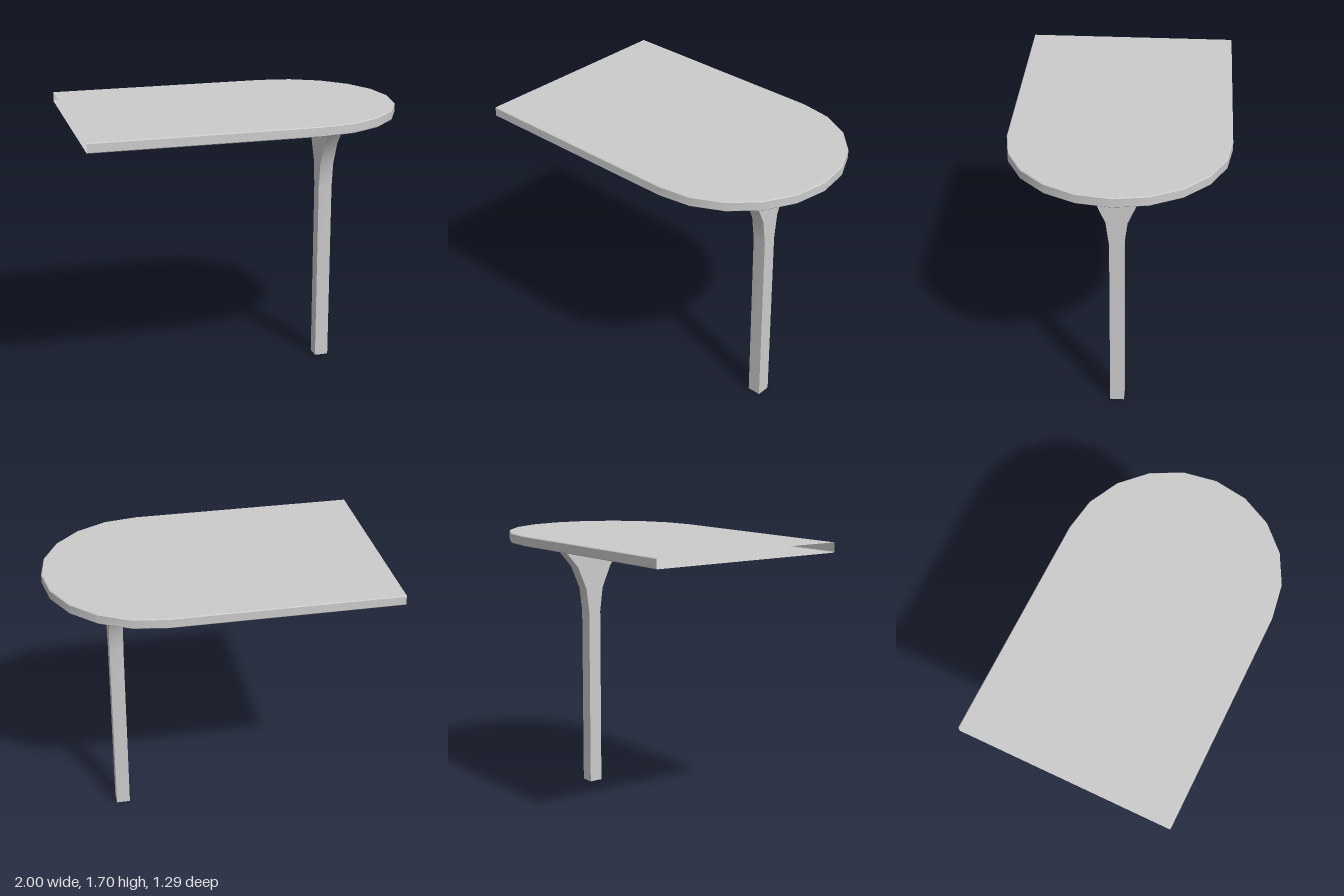
import * as THREE from 'three';
import { toCreasedNormals } from 'three/addons/utils/BufferGeometryUtils.js';

const material = new THREE.MeshStandardMaterial({ color: 0xcccccc, side: THREE.DoubleSide });

// Skin a stack of equally long rows of [x, y, z] points, running from bottom to top.
function loft(rows, crease) {
  const n = rows[0].length;
  const index = [];
  for (let i = 0; i < rows.length - 1; i++) {
    for (let j = 0; j < n - 1; j++) {
      const a = i * n + j, d = a + n;
      index.push(a, a + 1, d + 1, a, d + 1, d);
    }
  }
  const geometry = new THREE.BufferGeometry();
  geometry.setAttribute('position', new THREE.Float32BufferAttribute(rows.flat(2), 3));
  geometry.setIndex(index);
  return toCreasedNormals(geometry, crease);
}

// Table outline: straight sides ending in a half circle; zScale 0 folds it to the centre line.
function outline(radius, y, zScale = 1) {
  const points = [[-1, y, radius * zScale]];
  for (let i = 0; i <= 10; i++) {
    const a = Math.PI / 2 - (i / 10) * Math.PI;
    points.push([0.355 + radius * Math.cos(a), y, radius * Math.sin(a) * zScale]);
  }
  points.push([-1, y, -radius * zScale]);
  return points;
}

export function createModel() {
  const group = new THREE.Group();
  const add = (name, geometry) => {
    const mesh = new THREE.Mesh(geometry, material);
    mesh.name = name;
    group.add(mesh);
  };

  // Hollow slab with a finely bevelled rim, left open at its straight end
  const r = 0.645, bevel = 0.005, bottom = 1.64, top = 1.7;
  add('tableTop', loft([
    outline(r - bevel, bottom, 0),
    outline(r - bevel, bottom),
    outline(r, bottom + bevel),
    outline(r, top - bevel),
    outline(r - bevel, top),
    outline(r - bevel, top, 0),
  ], 0.6));

  // Square post, open at the foot, flaring front and back beneath the slab
  const x0 = 0.545, x1 = 0.63;
  const profile = [[0, 0.043], [1.15, 0.043], [1.305, 0.063], [1.45, 0.126], [1.565, 0.226], [bottom, 0.325]];
  add('leg', loft(profile.map(([y, h]) => [
    [x0, y, h], [x1, y, h], [x1, y, -h], [x0, y, -h], [x0, y, h],
  ]), 0.6));

  return group;
}
